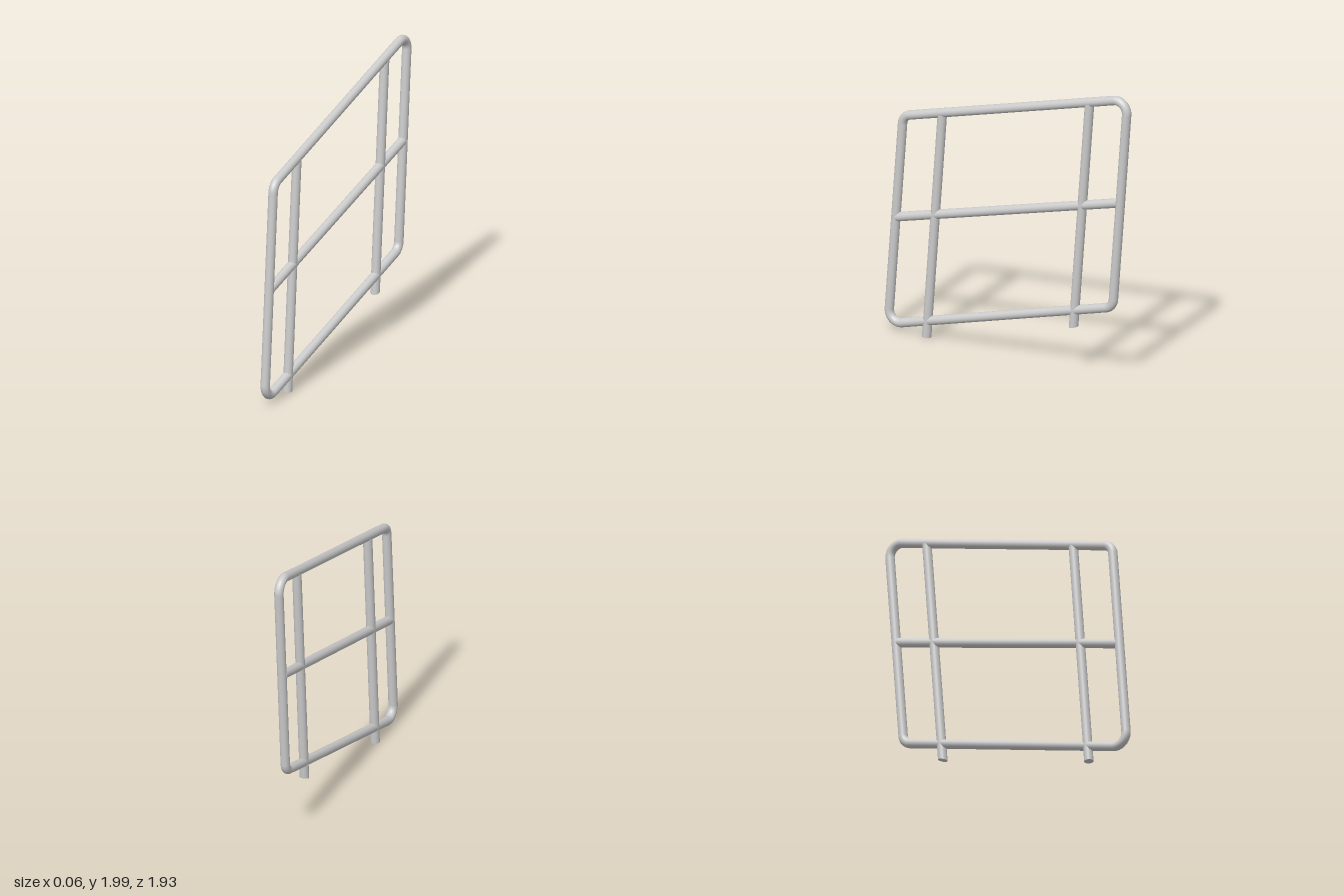
import * as THREE from 'three';

const RADIUS = 0.031; // tube radius
const BEND = 0.078;   // centreline radius of the frame corners
const STEPS = 10;     // rings per bend
const SIDES = 24;

const material = new THREE.MeshStandardMaterial({ color: 0xcccccc });
const at = (z, y) => new THREE.Vector3(0, y, z);

// Closed loop of straight runs joined by circular bends; rings sit only on the bends.
class RoundedLoop extends THREE.Curve {
  constructor(corners, radius) {
    super();
    this.rings = [];
    const n = corners.length;
    corners.forEach((p, i) => {
      const a = corners[(i + n - 1) % n].clone().sub(p).normalize();
      const b = corners[(i + 1) % n].clone().sub(p).normalize();
      const half = a.angleTo(b) / 2;
      const centre = a.clone().add(b).normalize().multiplyScalar(radius / Math.sin(half)).add(p);
      const run = radius / Math.tan(half);
      const n0 = p.clone().addScaledVector(a, run).sub(centre);
      const n1 = p.clone().addScaledVector(b, run).sub(centre);
      const sweep = Math.PI - 2 * half;
      for (let k = 0; k <= STEPS; k++) {
        const f = sweep * k / STEPS, r = sweep - f, s = Math.sin(sweep);
        this.rings.push({
          point: centre.clone().addScaledVector(n0, Math.sin(r) / s).addScaledVector(n1, Math.sin(f) / s),
          tangent: new THREE.Vector3().addScaledVector(n0, -Math.cos(r)).addScaledVector(n1, Math.cos(f)).normalize(),
        });
      }
    });
  }
  ring(u) { return this.rings[Math.round(u * this.rings.length) % this.rings.length]; }
  getPoint(u) { return this.ring(u).point.clone(); }
  getPointAt(u) { return this.getPoint(u); }
  getTangent(u) { return this.ring(u).tangent.clone(); }
  getTangentAt(u) { return this.getTangent(u); }
}

// Straight capped bar between two points; cut slants its lower end along z.
function bar(name, from, to, cut = 0) {
  const axis = to.clone().sub(from);
  const length = axis.length();
  const geometry = new THREE.CylinderGeometry(RADIUS, RADIUS, length, SIDES);
  const pos = geometry.attributes.position;
  for (let i = 0; i < pos.count; i++) {
    if (pos.getY(i) < 0) pos.setY(i, pos.getY(i) + cut * pos.getZ(i));
  }
  const mesh = new THREE.Mesh(geometry, material);
  mesh.name = name;
  mesh.position.copy(from).add(to).multiplyScalar(0.5);
  mesh.quaternion.setFromUnitVectors(new THREE.Vector3(0, 1, 0), axis.normalize());
  return mesh;
}

export function createModel() {
  const group = new THREE.Group();
  group.name = 'slopedRailing';

  // Outer frame: a leaning parallelogram with rounded corners
  const loop = new RoundedLoop([at(0.944, 0.028), at(-0.822, 0.515), at(-0.939, 1.99), at(0.827, 1.507)], BEND);
  const frame = new THREE.Mesh(new THREE.TubeGeometry(loop, loop.rings.length, RADIUS, SIDES, true), material);
  frame.name = 'outerFrame';
  group.add(frame);

  // Middle rail and the two posts that reach below the frame
  group.add(
    bar('middleRail', at(0.873, 0.79), at(-0.865, 1.252)),
    bar('frontPost', at(0.642, 0.0025), at(0.519, 1.58)),
    bar('backPost', at(-0.513, 0.313), at(-0.639, 1.9), -0.31),
  );
  return group;
}
